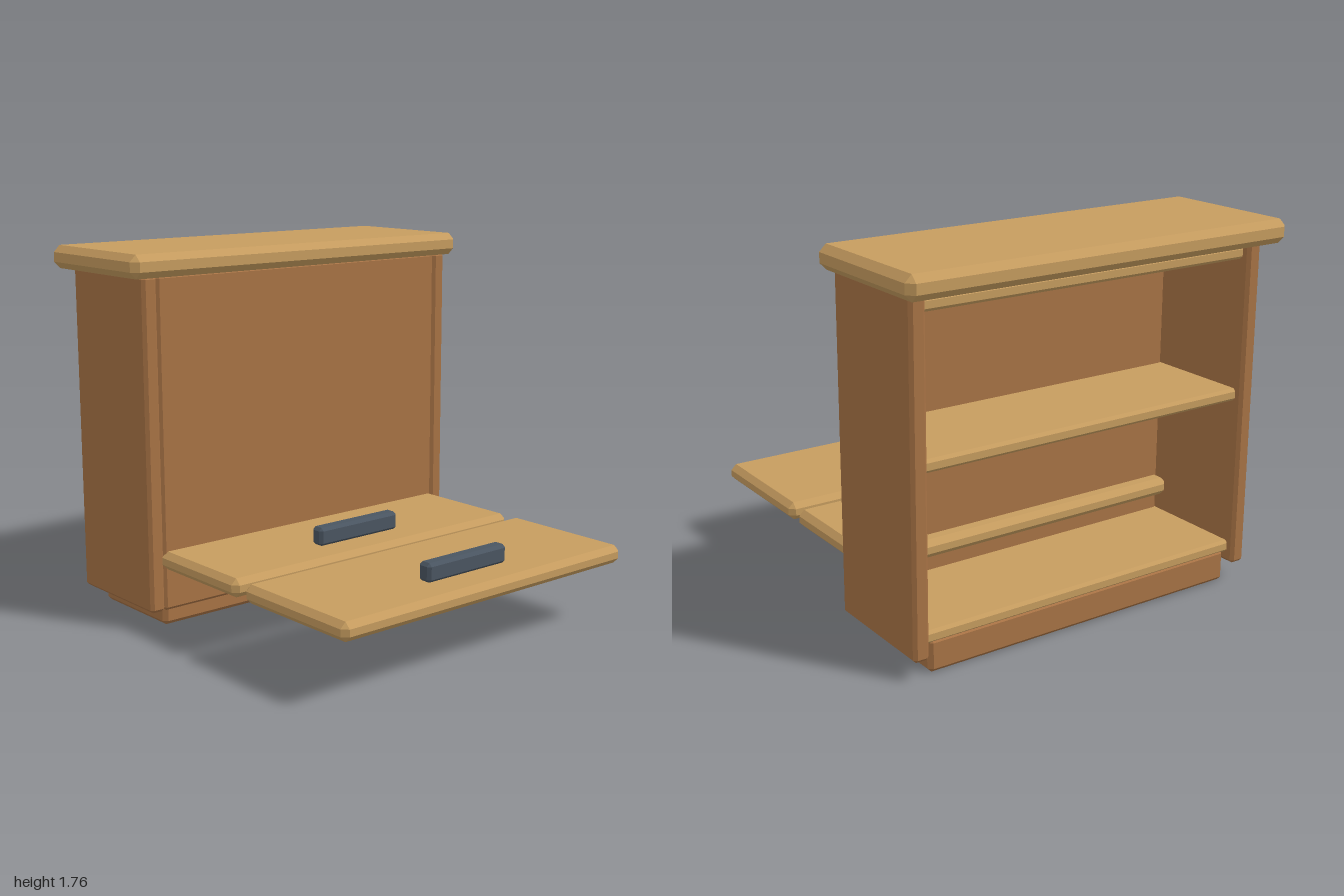
import * as THREE from 'three';
import { ConvexGeometry } from 'three/addons/geometries/ConvexGeometry.js';

// Box between two corners, with every edge cut at 45 degrees by c
function chamferBox([x0, y0, z0], [x1, y1, z1], c) {
  const h = [(x1 - x0) / 2, (y1 - y0) / 2, (z1 - z0) / 2];
  const points = [];
  for (const sx of [-1, 1]) for (const sy of [-1, 1]) for (const sz of [-1, 1]) {
    for (let full = 0; full < 3; full++) {
      const [x, y, z] = h.map((v, i) => (i === full ? v : v - c));
      points.push(new THREE.Vector3(sx * x, sy * y, sz * z));
    }
  }
  const geometry = new ConvexGeometry(points);
  geometry.translate((x0 + x1) / 2, (y0 + y1) / 2, (z0 + z1) / 2);
  return geometry;
}

function material(name, color) {
  const m = new THREE.MeshStandardMaterial({ color });
  m.name = name;
  return m;
}

export function createModel() {
  const group = new THREE.Group();
  const lightWood = material('light wood', 0xc69c5f);
  const darkWood = material('dark wood', 0xa87345);
  const metal = material('dark metal', 0x4a5561);

  const add = (name, mat, min, max, chamfer) => {
    const mesh = new THREE.Mesh(chamferBox(min, max, chamfer), mat);
    mesh.name = name;
    group.add(mesh);
  };

  // Cabinet body, open at the back
  add('worktop', lightWood, [-0.993, 1.65, -1], [0.993, 1.76, -0.27], 0.032);
  add('leftSide', darkWood, [0.853, 0.088, -0.9], [0.93, 1.66, -0.3], 0.015);
  add('rightSide', darkWood, [-0.93, 0.088, -0.9], [-0.853, 1.66, -0.3], 0.015);
  add('frontPanel', darkWood, [-0.855, 0.088, -0.345], [0.855, 1.66, -0.302], 0.014);
  add('plinth', darkWood, [-0.835, 0, -0.865], [0.835, 0.16, -0.34], 0.02);

  // Boards inside the cabinet
  const boards = [['bottomBoard', 0.2], ['middleShelf', 0.96], ['topBoard', 1.63]];
  for (const [name, top] of boards) {
    add(name, lightWood, [-0.862, top - 0.06, -0.865], [0.862, top, -0.325], 0.014);
  }

  // Two open drop fronts lying flat, each with a handle
  const fronts = [['inner', -0.42, 0.26, 0.03], ['outer', 0.317, 1, 0.765]];
  for (const [name, back, front, handleBack] of fronts) {
    add(name + 'DropFront', lightWood, [-0.86, 0.288, back], [0.86, 0.375, front], 0.027);
    add(name + 'Handle', metal, [-0.243, 0.372, handleBack], [0.243, 0.462, handleBack + 0.073], 0.015);
  }

  return group;
}
